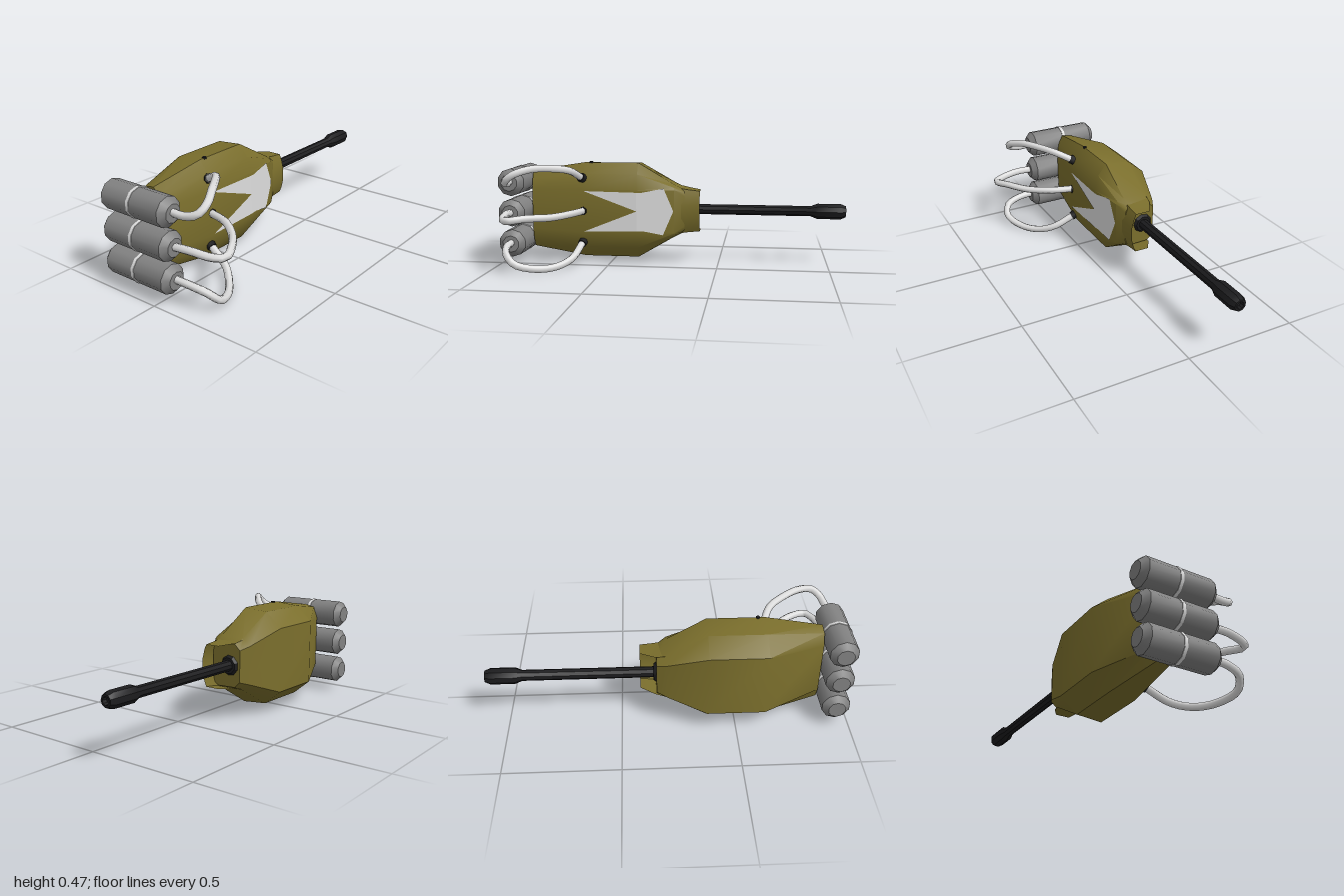
import * as THREE from 'three';
import { toCreasedNormals } from 'three/addons/utils/BufferGeometryUtils.js';

const MID_Y = 0.247;
const AXIS_Z = -0.163;

const mat = (name, color) => {
  const m = new THREE.MeshStandardMaterial({ color });
  m.name = name;
  return m;
};

// Skin a list of rings; each section is [x, half profile of [z, dy]] mirrored about MID_Y.
function loft(sections, closed) {
  const rings = sections.map(([x, half]) => [
    ...half.map(([z, d]) => [x, MID_Y + d, z]),
    ...half.slice().reverse().map(([z, d]) => [x, MID_Y - d, z]),
  ]);
  const n = rings[0].length;
  const index = [];
  for (let i = 0; i < rings.length - 1; i++) {
    for (let j = 0; j < n; j++) {
      // an open shell leaves the rear gap between the two halves
      if (!closed && j === n / 2 - 1) continue;
      const k = (j + 1) % n;
      const a = i * n + j, b = i * n + k, c = a + n, d = b + n;
      index.push(a, c, d, a, d, b);
    }
  }
  if (closed) {
    const e = (rings.length - 1) * n;
    for (let j = 1; j < n - 1; j++) index.push(0, j, j + 1, e, e + j + 1, e + j);
  }
  const g = new THREE.BufferGeometry();
  g.setAttribute('position', new THREE.Float32BufferAttribute(rings.flat(2), 3));
  g.setIndex(index);
  return toCreasedNormals(g, 0.6);
}

export function createModel() {
  const root = new THREE.Group();
  root.name = 'armCannon';
  const olive = mat('olive', 0x7a6e2c);
  olive.side = THREE.DoubleSide;
  const grey = mat('grey', 0x828282);
  const white = mat('white', 0xdedede);
  const black = mat('black', 0x1c1c1e);

  const add = (name, geometry, material, parent = root) => {
    const m = new THREE.Mesh(geometry, material);
    m.name = name;
    parent.add(m);
    return m;
  };

  // Faceted housing
  const wide = [[-0.03, 0.1], [-0.05, 0.17], [-0.09, 0.22], [-0.205, 0.21], [-0.283, 0.145]];
  add('housing', loft([
    [-0.87, [[-0.07, 0.09], [-0.08, 0.14], [-0.1, 0.18], [-0.15, 0.17], [-0.17, 0.12]]],
    [-0.62, wide],
    [-0.37, wide],
    [-0.2, [[-0.052, 0.1], [-0.06, 0.11], [-0.09, 0.12], [-0.2, 0.115], [-0.238, 0.085]]],
    [-0.155, [[-0.075, 0.07], [-0.08, 0.085], [-0.1, 0.098], [-0.19, 0.095], [-0.217, 0.07]]],
  ], true), olive);

  // Hood around the barrel root, open at the back
  add('hood', loft([
    [-0.2, [[-0.066, 0.03], [-0.08, 0.085], [-0.09, 0.11], [-0.205, 0.11]]],
    [-0.15, [[-0.068, 0.03], [-0.08, 0.075], [-0.09, 0.1], [-0.195, 0.1]]],
    [-0.085, [[-0.07, 0.03], [-0.08, 0.07], [-0.09, 0.093], [-0.155, 0.093]]],
  ], false), olive);

  // Chevron plate following the bend of the housing front
  const pieces = [
    [[-0.615, 0.34], [-0.37, 0.25], [-0.37, 0.336]],
    [[-0.615, 0.152], [-0.37, 0.157], [-0.37, 0.25]],
    [[-0.37, 0.157], [-0.335, 0.157], [-0.25, 0.14], [-0.203, 0.25], [-0.247, 0.355], [-0.35, 0.335], [-0.37, 0.336]],
  ];
  const shapes = pieces.map((p) => new THREE.Shape(p.map(([x, y]) => new THREE.Vector2(x, y))));
  const chevron = new THREE.ShapeGeometry(shapes);
  const cp = chevron.attributes.position;
  for (let i = 0; i < cp.count; i++) {
    const x = cp.getX(i);
    cp.setZ(i, -0.027 - Math.max(0, x + 0.37) * 0.129);
  }
  chevron.computeVertexNormals();
  add('chevron', chevron, white);

  // Barrel turned along x: base collar, tube and muzzle
  const barrelProfile = [
    [0, -0.2], [0.036, -0.2], [0.045, -0.185], [0.045, -0.155], [0.036, -0.143], [0.024, -0.143],
    [0.024, 0.42], [0.036, 0.45], [0.036, 0.555], [0.026, 0.578], [0.017, 0.578], [0.015, 0.56], [0, 0.56],
  ].map(([r, x]) => new THREE.Vector2(r, x));
  const barrel = add('barrel', toCreasedNormals(new THREE.LatheGeometry(barrelProfile, 9), 0.5), black);
  barrel.rotation.z = -Math.PI / 2;
  barrel.position.set(0, MID_Y, AXIS_Z);

  // Three tanks, each with a strap and a hose to the housing
  const tankProfile = [[0, -0.175], [0.038, -0.175], [0.063, -0.15], [0.063, 0.15], [0.038, 0.175], [0, 0.175]]
    .map(([r, h]) => new THREE.Vector2(r, h));
  const tankGeo = toCreasedNormals(new THREE.LatheGeometry(tankProfile, 10), 0.65);
  const strapGeo = new THREE.CylinderGeometry(0.0655, 0.0655, 0.014, 10);
  const hoses = {
    upper: [0.383, [
      [-0.935, 0.388, 0.05], [-0.93, 0.386, 0.12], [-0.915, 0.402, 0.172], [-0.88, 0.43, 0.182],
      [-0.81, 0.453, 0.145], [-0.73, 0.452, 0.09], [-0.66, 0.437, 0.03], [-0.625, 0.4, -0.04]]],
    middle: [0.243, [
      [-0.935, 0.245, 0.05], [-0.93, 0.25, 0.14], [-0.91, 0.243, 0.23], [-0.88, 0.243, 0.266],
      [-0.81, 0.25, 0.235], [-0.72, 0.245, 0.16], [-0.65, 0.248, 0.06], [-0.62, 0.247, -0.04]]],
    lower: [0.103, [
      [-0.935, 0.108, 0.05], [-0.93, 0.104, 0.13], [-0.91, 0.085, 0.2], [-0.87, 0.046, 0.222],
      [-0.79, 0.02, 0.19], [-0.71, 0.018, 0.13], [-0.65, 0.045, 0.06], [-0.625, 0.098, -0.04]]],
  };
  for (const [place, [y, points]] of Object.entries(hoses)) {
    const unit = new THREE.Group();
    unit.name = place + 'TankUnit';
    root.add(unit);
    const tank = add('tank', tankGeo, grey, unit);
    tank.rotation.x = Math.PI / 2;
    tank.position.set(-0.935, y, -0.11);
    const strap = add('strap', strapGeo, white, unit);
    strap.rotation.x = Math.PI / 2;
    strap.position.set(-0.935, y, -0.115);
    const curve = new THREE.CatmullRomCurve3(points.map((p) => new THREE.Vector3(...p)));
    add('hose', new THREE.TubeGeometry(curve, 24, 0.0165, 7), white, unit);
    // Dark socket where the hose enters the housing
    const socket = add('hoseSocket', new THREE.CylinderGeometry(0.021, 0.021, 0.022, 8), black, unit);
    socket.quaternion.setFromUnitVectors(new THREE.Vector3(0, 1, 0), curve.getTangent(1));
    socket.position.copy(curve.getPoint(1));
  }

  // Small pin on the top edge
  const pin = add('pin', new THREE.CylinderGeometry(0.009, 0.009, 0.008, 8), black);
  pin.position.set(-0.59, 0.467, -0.092);
  return root;
}
